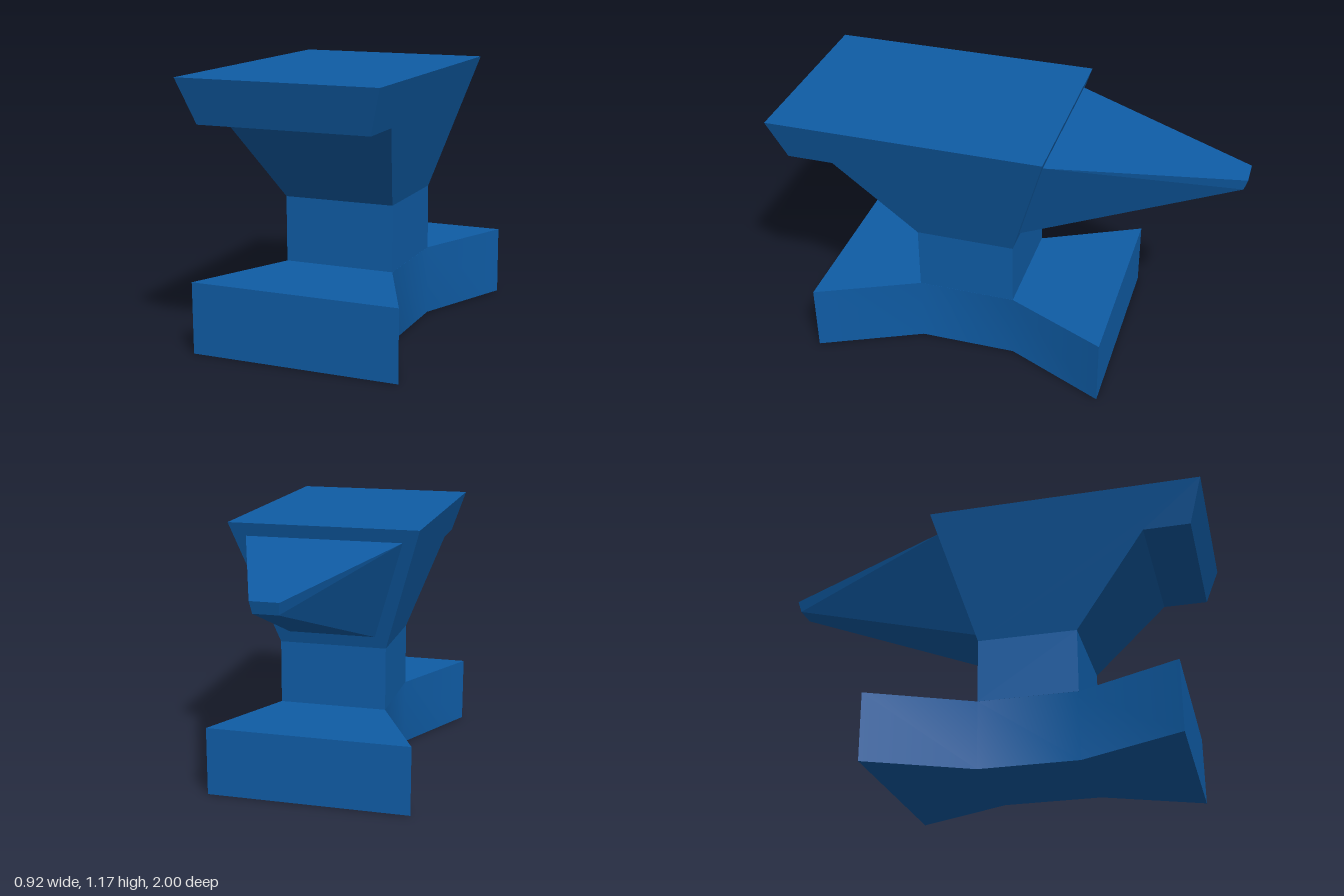
import * as THREE from 'three';
import { toCreasedNormals } from 'three/addons/utils/BufferGeometryUtils.js';
import { ConvexGeometry } from 'three/addons/geometries/ConvexGeometry.js';

const CX = 0.006; // slight sideways offset of everything above the foot

function extrude(points, depth) {
  const shape = new THREE.Shape(points.map(([a, b]) => new THREE.Vector2(a, b)));
  return new THREE.ExtrudeGeometry(shape, { depth, bevelEnabled: false });
}

export function createModel() {
  const group = new THREE.Group();
  const blue = new THREE.MeshStandardMaterial({ color: 0x0f5ca5 });
  blue.name = 'blue steel';

  const add = (name, geometry) => {
    const mesh = new THREE.Mesh(geometry, blue);
    mesh.name = name;
    group.add(mesh);
  };

  // Foot: waisted plan outline as [x, -z], softly shaded along its sides
  const foot = extrude([
    [-0.458, -0.86], [0.458, -0.86], [0.254, -0.41], [0.254, 0.035],
    [0.458, 0.485], [-0.458, 0.485], [-0.241, 0.035], [-0.241, -0.41],
  ], 0.31).rotateX(-Math.PI / 2);
  add('foot', toCreasedNormals(foot, 0.6));

  // Waist: plain block between foot and body
  add('waist', new THREE.BoxGeometry(0.495, 0.29, 0.445).translate(CX, 0.455, 0.1875));

  // Body: side profile as [z, y], flared in width towards the top
  const body = extrude([
    [-0.035, 0.6], [0.41, 0.6], [0.735, 0.985], [0.94, 0.985], [1, 1.175], [-0.215, 1.175],
  ], 1).translate(0, 0, -0.5).rotateY(-Math.PI / 2);
  const pos = body.attributes.position;
  for (let i = 0; i < pos.count; i++) {
    const t = (pos.getY(i) - 0.6) / 0.575;
    const halfWidth = THREE.MathUtils.lerp(0.2475, 0.429, t);
    pos.setX(i, CX + 2 * pos.getX(i) * halfWidth);
  }
  body.computeVertexNormals();
  add('body', body);

  // Horn: tapered wedge, each row is [half width, y, z]
  const corners = [
    [0.352, 1.115, -0.196], [0.2, 0.655, -0.052],
    [0.06, 1.02, -1], [0.052, 0.968, -0.985],
  ].flatMap(([w, y, z]) => [-1, 1].map((s) => new THREE.Vector3(CX + s * w, y, z)));
  add('horn', new ConvexGeometry(corners));

  return group;
}
